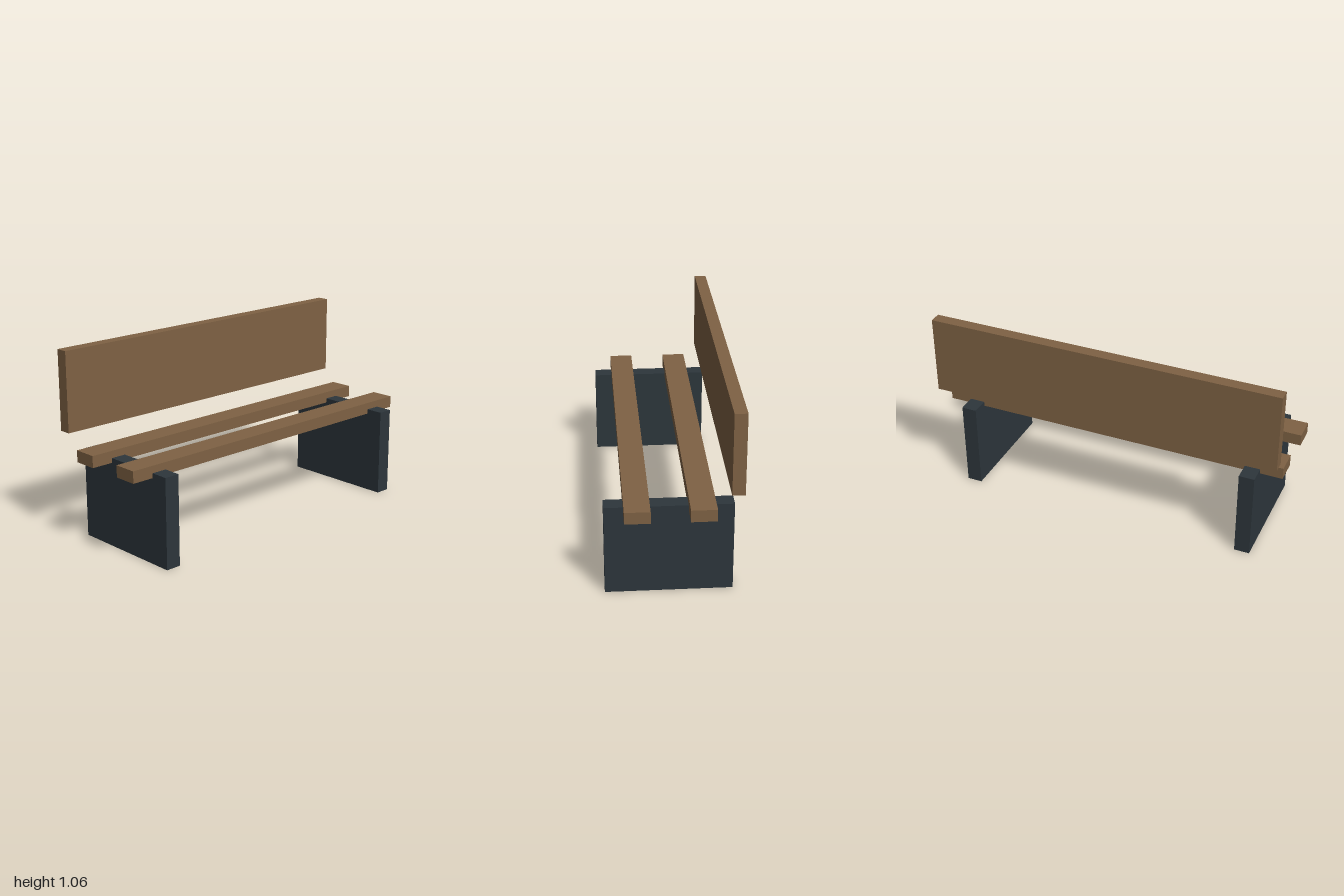
import * as THREE from 'three';

export function createModel() {
  const bench = new THREE.Group();
  bench.name = 'bench';

  const wood = new THREE.MeshStandardMaterial({ color: 0x7f6244 });
  wood.name = 'brown wood';
  const slate = new THREE.MeshStandardMaterial({ color: 0x2d363c });
  slate.name = 'dark slate';

  // Box given by its extents along each axis
  const addBox = (name, material, [x0, x1], [y0, y1], [z0, z1]) => {
    const mesh = new THREE.Mesh(new THREE.BoxGeometry(x1 - x0, y1 - y0, z1 - z0), material);
    mesh.position.set((x0 + x1) / 2, (y0 + y1) / 2, (z0 + z1) / 2);
    mesh.name = name;
    bench.add(mesh);
  };

  // Solid side supports
  addBox('leftSupport', slate, [0.789, 0.875], [0, 0.501], [-0.317, 0.351]);
  addBox('rightSupport', slate, [-0.875, -0.789], [0, 0.501], [-0.317, 0.351]);

  // Seat slats, sunk slightly into the supports
  addBox('frontSeatSlat', wood, [-1, 1], [0.475, 0.541], [0.118, 0.251]);
  addBox('rearSeatSlat', wood, [-1, 1], [0.475, 0.541], [-0.216, -0.082]);

  // Floating backrest board
  addBox('backrest', wood, [-1, 1], [0.618, 1.063], [-0.351, -0.284]);

  return bench;
}
